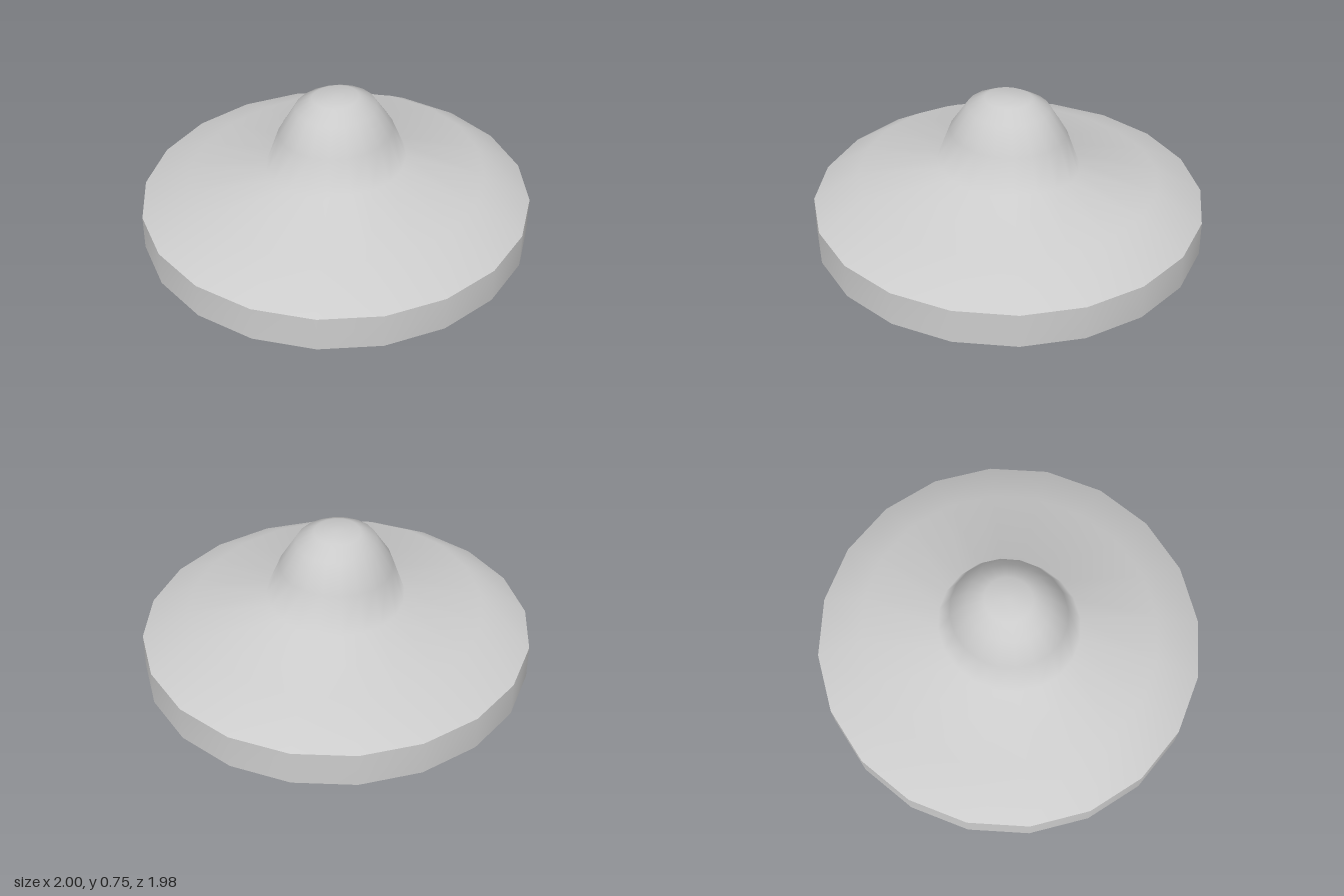
import * as THREE from 'three';

const SEGMENTS = 20;

// Rings from the bottom up: [side radius, front radius, back radius, side y, front y, back y, diagonal front lift]
const CROWN = [
  [1.0, 0.99, 0.99, 0.18, 0.18, 0.18, 0],
  [0.77, 0.75, 0.74, 0.33, 0.31, 0.29, 0],
  [0.37, 0.35, 0.34, 0.38, 0.395, 0.36, 0.02],
  [0.30, 0.28, 0.28, 0.57, 0.57, 0.545, 0],
  [0.21, 0.20, 0.20, 0.70, 0.70, 0.69, 0],
  [0.12, 0.11, 0.12, 0.748, 0.75, 0.74, 0],
];
const WALL = [
  [1.0, 0.99, 0.99, 0, 0, 0, 0],
  CROWN[0],
];

// Joins rings into a smooth shell, optionally closed by a centre point
function ringShell(rings, topY) {
  const positions = [];
  const indices = [];
  for (const [side, front, back, ySide, yFront, yBack, lift] of rings) {
    for (let j = 0; j < SEGMENTS; j++) {
      const a = (j / SEGMENTS) * Math.PI * 2;
      const c = Math.cos(a);
      const s = Math.sin(a);
      const isFront = s > 0;
      const yEnd = isFront ? yFront : yBack;
      const bump = isFront ? lift * Math.sin(2 * a) ** 2 : 0;
      positions.push(
        side * c,
        ySide + (yEnd - ySide) * s * s + bump,
        (isFront ? front : back) * s,
      );
    }
  }
  for (let i = 0; i < rings.length - 1; i++) {
    for (let j = 0; j < SEGMENTS; j++) {
      const k = (j + 1) % SEGMENTS;
      const a = i * SEGMENTS + j;
      const b = i * SEGMENTS + k;
      indices.push(a, a + SEGMENTS, b, b, a + SEGMENTS, b + SEGMENTS);
    }
  }
  if (topY !== undefined) {
    const base = (rings.length - 1) * SEGMENTS;
    const centre = positions.length / 3;
    positions.push(0, topY, 0);
    for (let j = 0; j < SEGMENTS; j++) {
      indices.push(base + j, centre, base + ((j + 1) % SEGMENTS));
    }
  }
  const geometry = new THREE.BufferGeometry();
  geometry.setAttribute('position', new THREE.Float32BufferAttribute(positions, 3));
  geometry.setIndex(indices);
  geometry.computeVertexNormals();
  return geometry;
}

export function createModel() {
  const group = new THREE.Group();
  group.name = 'domedCover';
  const material = new THREE.MeshStandardMaterial({ color: 0xcccccc, side: THREE.DoubleSide });

  // Sloping brim rising into the central dome, open underneath
  const crown = new THREE.Mesh(ringShell(CROWN, 0.752), material);
  crown.name = 'brimAndDome';
  group.add(crown);

  // Upright band, separate so its top edge stays sharp
  const band = new THREE.Mesh(ringShell(WALL), material);
  band.name = 'rimBand';
  group.add(band);

  return group;
}
